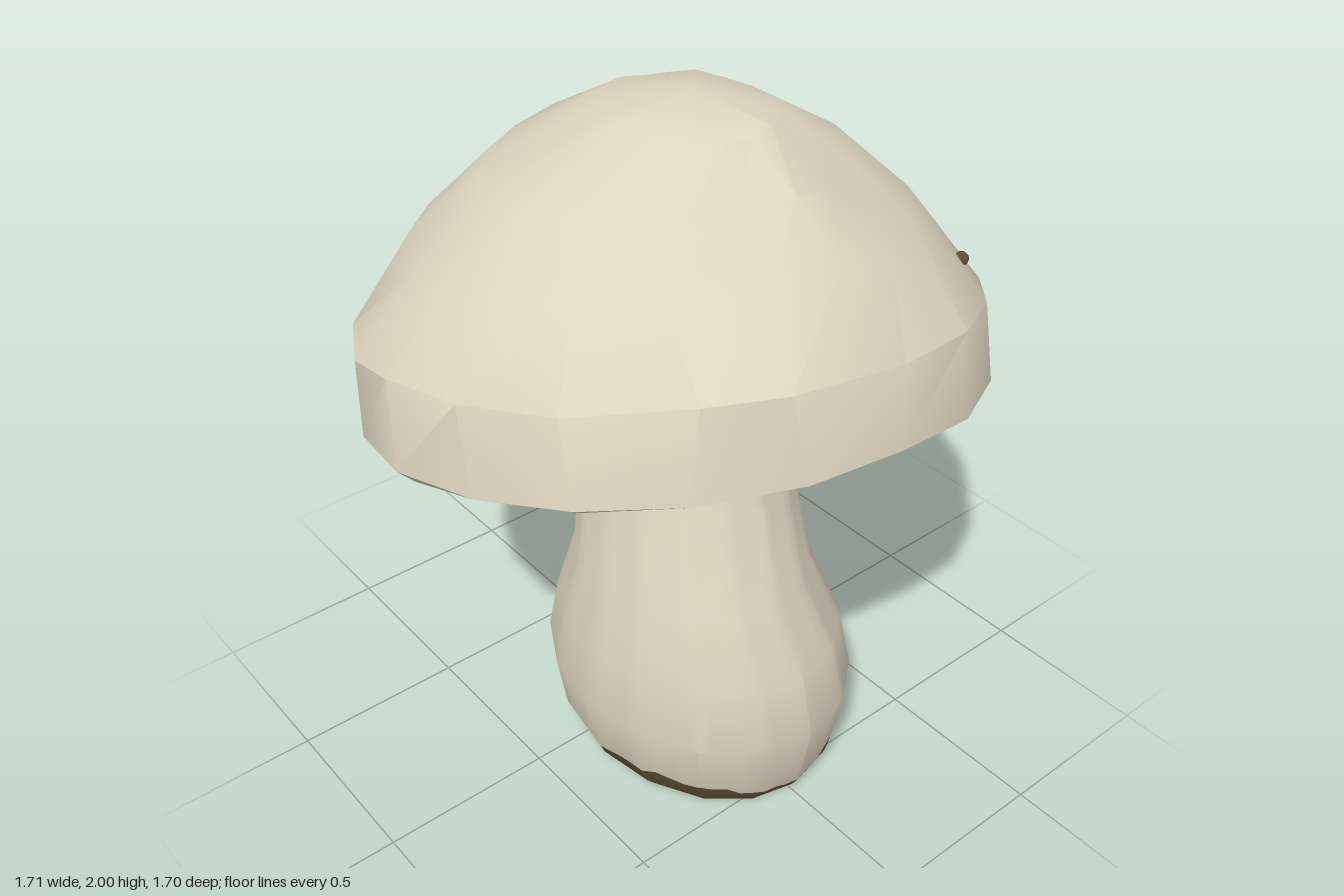
import * as THREE from 'three';
import { toCreasedNormals } from 'three/addons/utils/BufferGeometryUtils.js';

const TAU = Math.PI * 2;

// Repeatable wobble in -1..1
const wobble = (i, j) => {
  const v = Math.sin(i * 127.1 + j * 311.7) * 43758.5453;
  return (v - Math.floor(v)) * 2 - 1;
};

// Piecewise-linear lookup in rows [key, v1, v2, ...]
function lookup(table, key, col = 1) {
  for (let i = 1; i < table.length; i++) {
    const p = table[i - 1], q = table[i];
    if (key <= q[0]) {
      const t = Math.max(0, (key - p[0]) / (q[0] - p[0]));
      return p[col] + (q[col] - p[col]) * t;
    }
  }
  return table[table.length - 1][col];
}

// Closed loft: point(row, angle, column) -> [x, y, z], rows running top to bottom
function loft(rows, n, point, crease) {
  const pos = [], idx = [];
  for (let i = 0; i < rows; i++) {
    for (let j = 0; j < n; j++) pos.push(...point(i, (j / n) * TAU, j));
  }
  for (let i = 0; i < rows - 1; i++) {
    for (let j = 0; j < n; j++) {
      const k = (j + 1) % n;
      const a = i * n + j, b = i * n + k, c = a + n, d = b + n;
      idx.push(a, c, b, b, c, d);
    }
  }
  const g = new THREE.BufferGeometry();
  g.setAttribute('position', new THREE.Float32BufferAttribute(pos, 3));
  g.setIndex(idx);
  return toCreasedNormals(g, crease);
}

// Cap rings: left x,y / right x,y / front z,y / back z,y
const CAP = [
  [0, 2, 0, 2, 0.08, 2, 0.08, 2],
  [-0.22, 1.965, 0.19, 1.965, 0.33, 1.97, -0.17, 1.955],
  [-0.49, 1.785, 0.45, 1.8, 0.46, 1.86, -0.46, 1.79],
  [-0.66, 1.64, 0.63, 1.61, 0.61, 1.765, -0.65, 1.57],
  [-0.83, 1.45, 0.845, 1.29, 0.8, 1.56, -0.85, 1.2],
  [-0.85, 1.22, 0.85, 1.1, 0.85, 1.355, -0.83, 1.01],
  [-0.81, 1.185, 0.79, 1.035, 0.82, 1.335, -0.78, 0.96],
  [-0.72, 1.18, 0.69, 1.06, 0.7, 1.275, -0.68, 0.965],
];
function capPoint(i, a) {
  const [xl, yl, xr, yr, zf, yf, zb, yb] = CAP[i];
  const s = Math.sin(a), c = Math.cos(a);
  return [
    (xl + xr) / 2 + (s * (xr - xl)) / 2,
    (yl + yr + yf + yb) / 4 + (s * (yr - yl)) / 2 + (c * (yf - yb)) / 2
      + (Math.cos(2 * a) * (yf + yb - yl - yr)) / 4,
    (zf + zb) / 2 + (c * (zf - zb)) / 2,
  ];
}

// Underside point in the tilted plane of the cap
const under = (r, y, a) => {
  const x = r * Math.sin(a), z = r * Math.cos(a);
  return [x - 0.015, y + 1.12 + 0.225 * z - 0.085 * x, z + 0.01];
};

// Stem profile: y, left x, right x, front z, back z
const STEM = [
  [0, -0.32, 0.35, 0.55, -0.28], [0.05, -0.36, 0.37, 0.58, -0.3],
  [0.12, -0.39, 0.385, 0.6, -0.325], [0.29, -0.42, 0.4, 0.635, -0.345],
  [0.48, -0.4, 0.355, 0.6, -0.29], [0.69, -0.36, 0.265, 0.51, -0.2],
  [0.95, -0.295, 0.26, 0.41, -0.22], [1.15, -0.265, 0.26, 0.36, -0.235],
  [1.38, -0.26, 0.26, 0.34, -0.24],
];
const SIDE = TAU / 16;
function stemPoint(y, a, scale = 1, lift = 0) {
  const [xl, xr, zf, zb] = [1, 2, 3, 4].map((c) => lookup(STEM, y, c));
  const f = (scale * Math.cos(SIDE / 2)) / Math.cos((a % SIDE) - SIDE / 2);
  return [
    (xl + xr) / 2 + (f * Math.sin(a) * (xr - xl)) / 2,
    y + lift,
    (zf + zb) / 2 + (f * Math.cos(a) * (zf - zb)) / 2,
  ];
}

// Colour borders on the stem: angle in degrees (0 front, 90 at +x), height
const SOIL_EDGE = [[0, 0.05], [17, 0.06], [23, 0.12], [60, 0.1], [75, 0.12], [88, 0.08],
  [92, 0.1], [95.6, 0.25], [99, 0.12], [104, 0.06], [120, 0.05], [150, 0.06], [168, 0.1],
  [180, 0.14], [195, 0.09], [215, 0.04], [250, 0.04], [275, 0.1], [300, 0.12], [325, 0.09],
  [345, 0.05], [360, 0.05]];
const COLLAR_EDGE = [[0, 1.17], [35, 1.16], [60, 1.09], [75, 1.04], [105, 1.01], [135, 1.12],
  [168, 0.98], [190, 0.96], [225, 1.05], [270, 1.1], [310, 1.11], [335, 1.17], [360, 1.17]];
const edge = (table, a, seed) =>
  lookup(table, (a * 360) / TAU) + 0.01 * wobble(Math.round(a * 20), seed);

export function createModel() {
  const group = new THREE.Group();
  const material = (name, color, side = THREE.FrontSide) => {
    const m = new THREE.MeshStandardMaterial({ color, side });
    m.name = name;
    return m;
  };
  const cream = material('cream', 0xded5bf);
  const gillCream = material('pale gill', 0xd6cfbd, THREE.DoubleSide);
  const soil = material('dark soil', 0x615037);
  const tan = material('brown flesh', 0x786241);
  const add = (name, geometry, mat) => {
    const mesh = new THREE.Mesh(geometry, mat);
    mesh.name = name;
    group.add(mesh);
    return mesh;
  };

  // Cap: lumpy dome with a rolled rim and two shallow dents at the front
  add('cap', loft(CAP.length, 20, (i, a, j) => {
    const p = capPoint(i, a + (i > 0 && i < 5 ? 0.05 * wobble(i, j) : 0));
    if (i === 0) return p;
    const k = 1 + 0.012 * wobble(j, i + 3);
    const turn = a > Math.PI ? a - TAU : a;
    const dent = i === 2 || i === 3
      ? 0.04 * Math.exp(-(((Math.abs(turn) - 0.4) / 0.25) ** 2)) : 0;
    return [p[0] * k, p[1] + 0.008 * wobble(i + 9, j) - dent, p[2] * k];
  }, 0.62), cream);

  // Hollow under the cap
  const hollow = [[0.715, -0.005], [0.7, 0.07], [0.5, 0.14], [0.15, 0.17]];
  add('capHollow', loft(hollow.length, 40, (i, a) => under(...hollow[i], a), 0.6), tan);

  // Gills: swept V-shaped ridges around the stem, with flesh showing between
  const GILLS = 40, STEPS = 7, gillPos = [], gillIdx = [];
  for (let g = 0; g < GILLS; g++) {
    const start = gillPos.length / 3;
    for (let k = 0; k <= STEPS; k++) {
      const t = k / STEPS, r = 0.2 + 0.5 * t;
      const a = (g / GILLS) * TAU + 0.4 * t * t + 0.03 * wobble(g, 1);
      const w = 0.064 * (1 - 0.15 * t);
      const low = 0.015 + 0.04 * Math.sin(Math.PI * t) + 0.012 * wobble(g, 2);
      const top = 0.17 - 0.09 * t * t;
      gillPos.push(...under(r, top, a - w), ...under(r, low, a), ...under(r, top, a + w));
      if (k === STEPS) continue;
      for (const c of [0, 1]) {
        const p = start + k * 3 + c;
        gillIdx.push(p, p + 1, p + 3, p + 1, p + 4, p + 3);
      }
    }
  }
  const gills = new THREE.BufferGeometry();
  gills.setAttribute('position', new THREE.Float32BufferAttribute(gillPos, 3));
  gills.setIndex(gillIdx);
  add('gills', toCreasedNormals(gills, 0.5), gillCream);

  // Stem, cut by the ragged collar above and soil line below
  const heights = STEM.map((r) => r[0]).reverse();
  const clamp = THREE.MathUtils.clamp;
  const band = (low, high) => (i, a) => stemPoint(clamp(heights[i], low(a), high(a)), a);
  const soilLine = (a) => edge(SOIL_EDGE, a, 5);
  const collarLine = (a) => edge(COLLAR_EDGE, a, 7);
  add('stem', loft(heights.length, 64, band(soilLine, collarLine), 0.45), cream);
  add('stemCollar', loft(heights.length, 64, band(collarLine, () => 1.38), 0.45), tan);

  // Soil-stained foot with a slightly dished base
  const foot = band(() => 0, soilLine);
  const base = [[0.8, 0], [0.68, 0.02], [0, 0.02]];
  add('stemFoot', loft(heights.length + base.length, 64, (i, a) => (i < heights.length
    ? foot(i, a) : stemPoint(0, a, ...base[i - heights.length])), 0.4), soil);

  // Small brown blemishes
  const spot = (name, at, r) => add(name, new THREE.SphereGeometry(r, 8, 6), soil).position.copy(at);
  const onCap = (i, t, a) => new THREE.Vector3(...capPoint(i, a))
    .lerp(new THREE.Vector3(...capPoint(i + 1, a)), t);
  spot('capSpot', onCap(3, 0.66, 0.8), 0.02);
  spot('rimSpot', onCap(6, 0.5, 3.95), 0.02);
  spot('rimSpot', onCap(6, 0.5, 2.55), 0.02);
  spot('stemSpot', new THREE.Vector3(...stemPoint(0.84, 4.1)), 0.025);

  return group;
}
